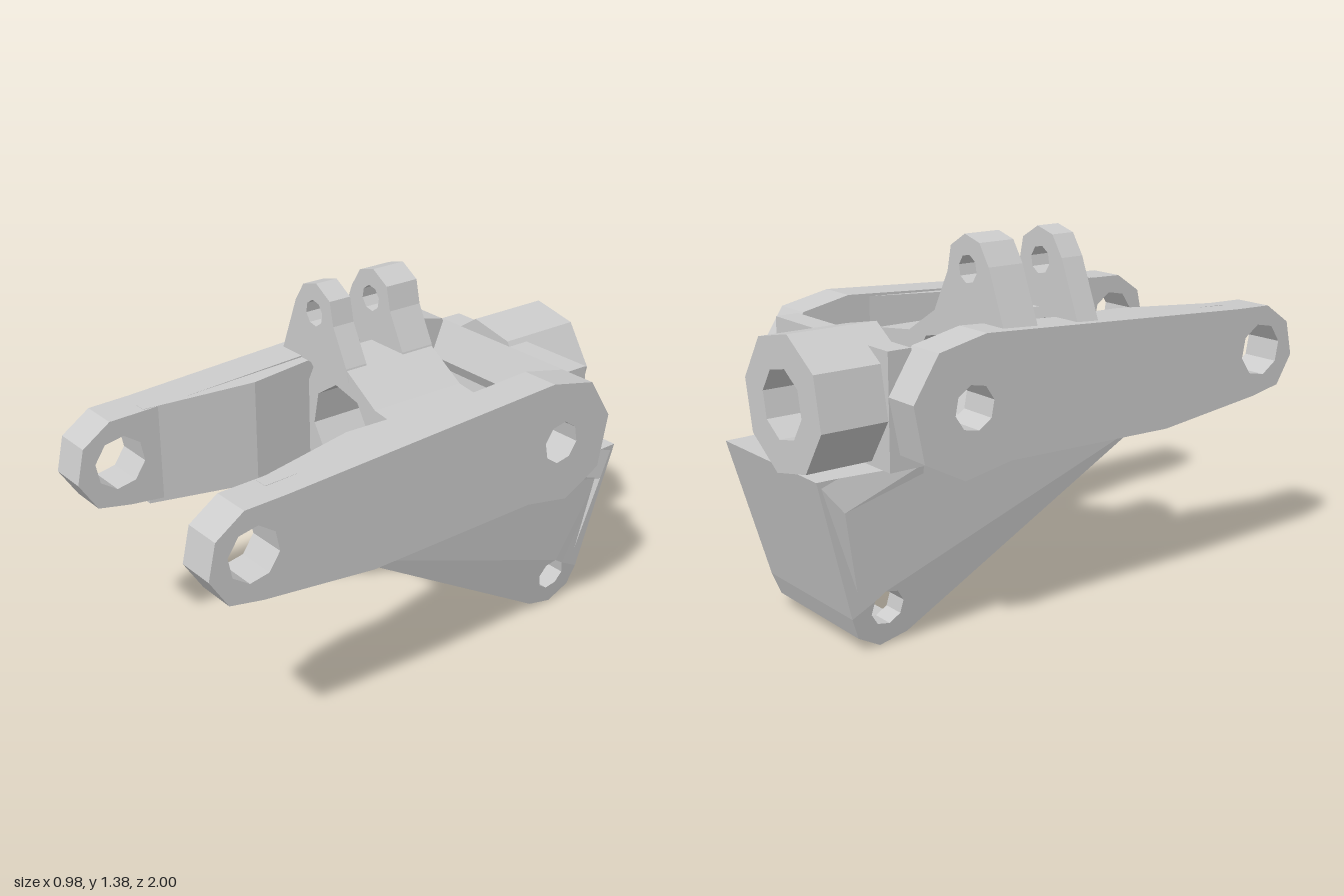
import * as THREE from 'three';

const material = new THREE.MeshStandardMaterial({ color: 0xcccccc, flatShading: true });

// Regular polygon as a list of points
function ring(cx, cy, r, turn = 0, n = 8) {
  return Array.from({ length: n }, (_, i) => {
    const a = turn + (i / n) * Math.PI * 2;
    return new THREE.Vector2(cx + r * Math.cos(a), cy + r * Math.sin(a));
  });
}

function makeShape(points, holes = []) {
  const shape = new THREE.Shape(points.map((p) => (p.isVector2 ? p : new THREE.Vector2(p[0], p[1]))));
  for (const h of holes) shape.holes.push(new THREE.Path(h));
  return shape;
}

// Profile in (x, y), running from z0 to z1
function extrudeZ(points, holes, z0, z1) {
  const g = new THREE.ExtrudeGeometry(makeShape(points, holes), { depth: z1 - z0, bevelEnabled: false });
  return g.translate(0, 0, z0);
}

// Profile in (z, y), running from x0 to x1
function extrudeX(points, holes, x0, x1) {
  const g = new THREE.ExtrudeGeometry(makeShape(points, holes), { depth: x1 - x0, bevelEnabled: false });
  return g.rotateY(-Math.PI / 2).translate(x1, 0, 0);
}

// Move every vertex by a rule
function reshape(g, rule) {
  const pos = g.attributes.position;
  const v = new THREE.Vector3();
  for (let i = 0; i < pos.count; i++) {
    v.fromBufferAttribute(pos, i);
    rule(v);
    pos.setXYZ(i, v.x, v.y, v.z);
  }
  g.computeVertexNormals();
  return g;
}

export function createModel() {
  const model = new THREE.Group();
  model.name = 'hingeBracket';
  const add = (name, geometry) => {
    const mesh = new THREE.Mesh(geometry, material);
    mesh.name = name;
    model.add(mesh);
  };

  // Side arms with a pivot hole at both ends
  const armProfile = [
    [1, 0.82], [0.97, 0.95], [0.86, 1.025], [0.7, 1.03], [-0.46, 1.095], [-0.65, 1.055], [-0.75, 0.9],
    [-0.71, 0.7], [-0.55, 0.615], [-0.36, 0.65], [0.35, 0.635], [0.8, 0.685], [0.93, 0.71],
  ];
  const armHoles = [ring(0.83, 0.86, 0.1, 0.2), ring(-0.51, 0.855, 0.08, 0.2)];

  // Inner thickening of each arm, in plan
  const wedgePlan = [[0.35, 0.72], [0.272, 0.3], [0.345, -0.42], [0.4, -0.42], [0.4, 0.72]];

  // Triangular lower cheeks
  const cheekProfile = [
    [0.35, 0.645], [0.35, 0.61], [-0.62, 0.025], [-0.73, 0], [-0.82, 0.05], [-0.85, 0.13], [-0.99, 0.645],
  ];
  const cheekHole = [ring(-0.71, 0.14, 0.065, 0.2)];

  for (const s of [-1, 1]) {
    const side = s > 0 ? 'left' : 'right';
    const span = (a, b) => (s > 0 ? [a, b] : [-b, -a]);
    add(side + 'Arm', extrudeX(armProfile, armHoles, ...span(0.34, 0.49)));

    const wedge = extrudeZ(wedgePlan.map(([x, z]) => [s * x, -z]), [], 0, 1).rotateX(-Math.PI / 2);
    add(side + 'ArmThickening', reshape(wedge, (v) => {
      v.y = v.y > 0.5 ? 1.063 - 0.045 * v.z : 0.642 + 0.04 * Math.max(0, v.z - 0.3);
    }));

    const cheek = extrudeX(cheekProfile, cheekHole, ...span(0, 1));
    add(side + 'Cheek', reshape(cheek, (v) => {
      const outer = Math.abs(v.x) > 0.5;
      const taper = 0.25 + 0.16 * v.y - (v.z < -0.9 ? 0.05 : 0);
      v.x = s * (outer ? taper : taper - 0.085) + 0.015;
    }));
  }

  // Rear wall with a grooved trough around the pivot axis
  add('rearWall', extrudeX([
    [-0.75, 1.05], [-0.75, 0.645], [-0.38, 0.645], [-0.37, 0.72], [-0.43, 0.775], [-0.47, 0.74],
    [-0.53, 0.74], [-0.58, 0.77], [-0.61, 0.81], [-0.62, 0.865], [-0.6, 0.91], [-0.66, 1.05],
  ], [], -0.35, 0.36));

  // Rear socket
  const cx = -0.105, cy = 0.865;
  add('rearSocket', extrudeZ(ring(cx, cy, 0.245, 0.19), [ring(cx, cy, 0.125, 0.19)], -1, -0.66));

  // Back plate, closed top and bottom lip of the lower box
  const backPlate = extrudeX([
    [-0.99, 0.645], [-0.6, 0.645], [-0.6, 0.61], [-0.9, 0.53], [-0.8, 0.08], [-0.64, 0.07],
    [-0.62, 0.025], [-0.73, 0], [-0.82, 0.05], [-0.85, 0.13],
  ], [], -1, 1);
  add('backPlate', reshape(backPlate, (v) => {
    v.x = Math.sign(v.x) * (0.245 + 0.15 * v.y - (v.z < -0.9 ? 0.045 : 0)) + 0.015;
  }));

  // Central block with its large bore
  add('centralBlock', extrudeZ([
    [-0.3, 0.98], [-0.3, 0.655], [-0.15, 0.61], [0.03, 0.65], [0.3, 0.665], [0.3, 0.97], [0.1, 0.995],
    [-0.065, 1.095], [-0.25, 1.095], [-0.27, 1.04],
  ], [ring(-0.1, 0.85, 0.17, 0.18)], -0.36, 0.04));

  // Pair of upright lugs
  const lugProfile = [
    [-0.46, 1.06], [-0.28, 1.06], [-0.25, 1.03], [-0.05, 1.05], [-0.065, 1.1], [-0.14, 1.24],
    [-0.16, 1.33], [-0.24, 1.377], [-0.32, 1.355], [-0.37, 1.28],
  ];
  for (const [name, z0, z1] of [['frontLug', -0.05, 0.042], ['rearLug', -0.362, -0.22]]) {
    add(name, extrudeZ(lugProfile, [ring(-0.255, 1.26, 0.05, 0.2)], z0, z1));
  }

  return model;
}
